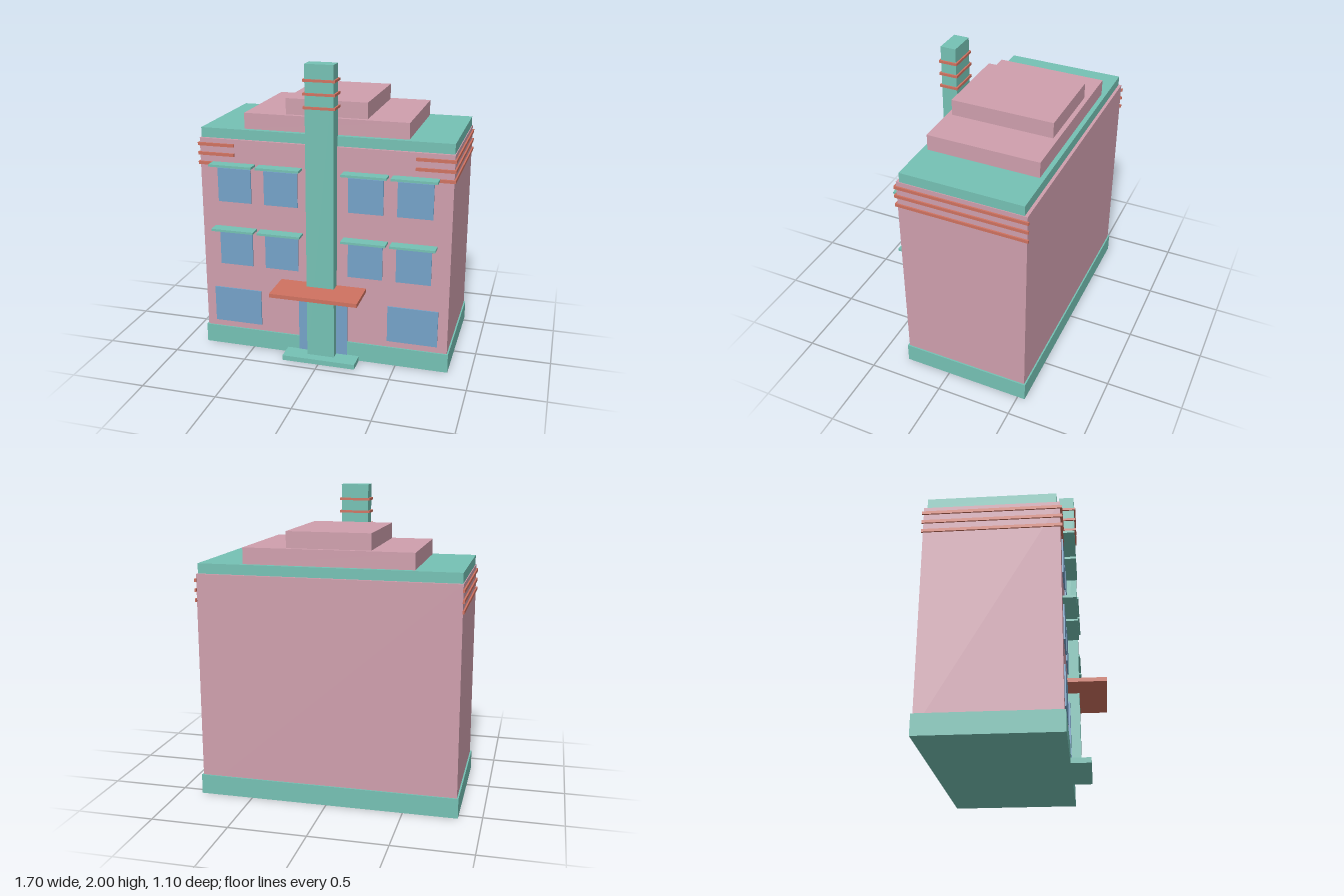
import * as THREE from 'three';

const material = (name, color) => {
  const m = new THREE.MeshStandardMaterial({ color });
  m.name = name;
  return m;
};

export function createModel() {
  const pink = material('pink stucco', 0xcf9fad);
  const teal = material('teal trim', 0x75c1b4);
  const coral = material('coral trim', 0xcf7260);
  const blue = material('blue glass', 0x74a2c8);

  const building = new THREE.Group();
  building.name = 'building';

  // Box given by its minimum and maximum on each axis
  const box = (name, mat, [x0, x1], [y0, y1], [z0, z1]) => {
    const mesh = new THREE.Mesh(new THREE.BoxGeometry(x1 - x0, y1 - y0, z1 - z0), mat);
    mesh.position.set((x0 + x1) / 2, (y0 + y1) / 2, (z0 + z1) / 2);
    mesh.name = name;
    building.add(mesh);
  };
  // The same box on both sides of x = 0
  const pair = (name, mat, [x0, x1], y, z) => {
    box(name + 'Left', mat, [x0, x1], y, z);
    box(name + 'Right', mat, [-x1, -x0], y, z);
  };

  // Main block, plinth and stepped roof
  box('plinth', teal, [-0.85, 0.85], [0, 0.13], [-0.55, 0.31]);
  box('walls', pink, [-0.84, 0.84], [0.02, 1.475], [-0.54, 0.30]);
  box('roofSlab', teal, [-0.835, 0.835], [1.475, 1.54], [-0.52, 0.28]);
  box('lowerRoofTier', pink, [-0.545, 0.545], [1.54, 1.645], [-0.49, 0.245]);
  box('upperRoofTier', pink, [-0.27, 0.27], [1.645, 1.75], [-0.46, 0.215]);

  // Central pylon with bands
  box('pylon', teal, [-0.093, 0.093], [0, 2], [0.27, 0.373]);
  for (const y of [1.73, 1.815, 1.9]) {
    box('pylonBand', coral, [-0.104, 0.104], [y - 0.008, y + 0.008], [0.26, 0.383]);
  }

  // Speed lines wrapping the front corners
  for (const y of [1.308, 1.372, 1.435]) {
    const height = [y - 0.01, y + 0.01];
    pair('frontStripe', coral, [0.6, 0.85], height, [0.3, 0.313]);
    pair('sideStripe', coral, [0.838, 0.85], height, [-0.55, 0.3]);
  }

  // Upper windows, each with a thin shade
  for (const y of [0.605, 1.05]) {
    for (const x of [0.285, 0.605]) {
      pair('window', blue, [x - 0.115, x + 0.115], [y, y + 0.23], [0.301, 0.31]);
      pair('windowShade', teal, [x - 0.147, x + 0.147], [y + 0.255, y + 0.27], [0.3, 0.382]);
    }
  }

  // Ground floor windows and entrance
  pair('shopWindow', blue, [0.44, 0.775], [0.175, 0.425], [0.301, 0.31]);
  box('door', blue, [-0.168, 0.168], [0.03, 0.425], [0.3, 0.314]);
  box('entranceCanopy', coral, [-0.293, 0.293], [0.506, 0.532], [0.3, 0.55]);
  box('entranceStep', teal, [-0.25, 0.25], [0, 0.034], [0.3, 0.437]);

  return building;
}
